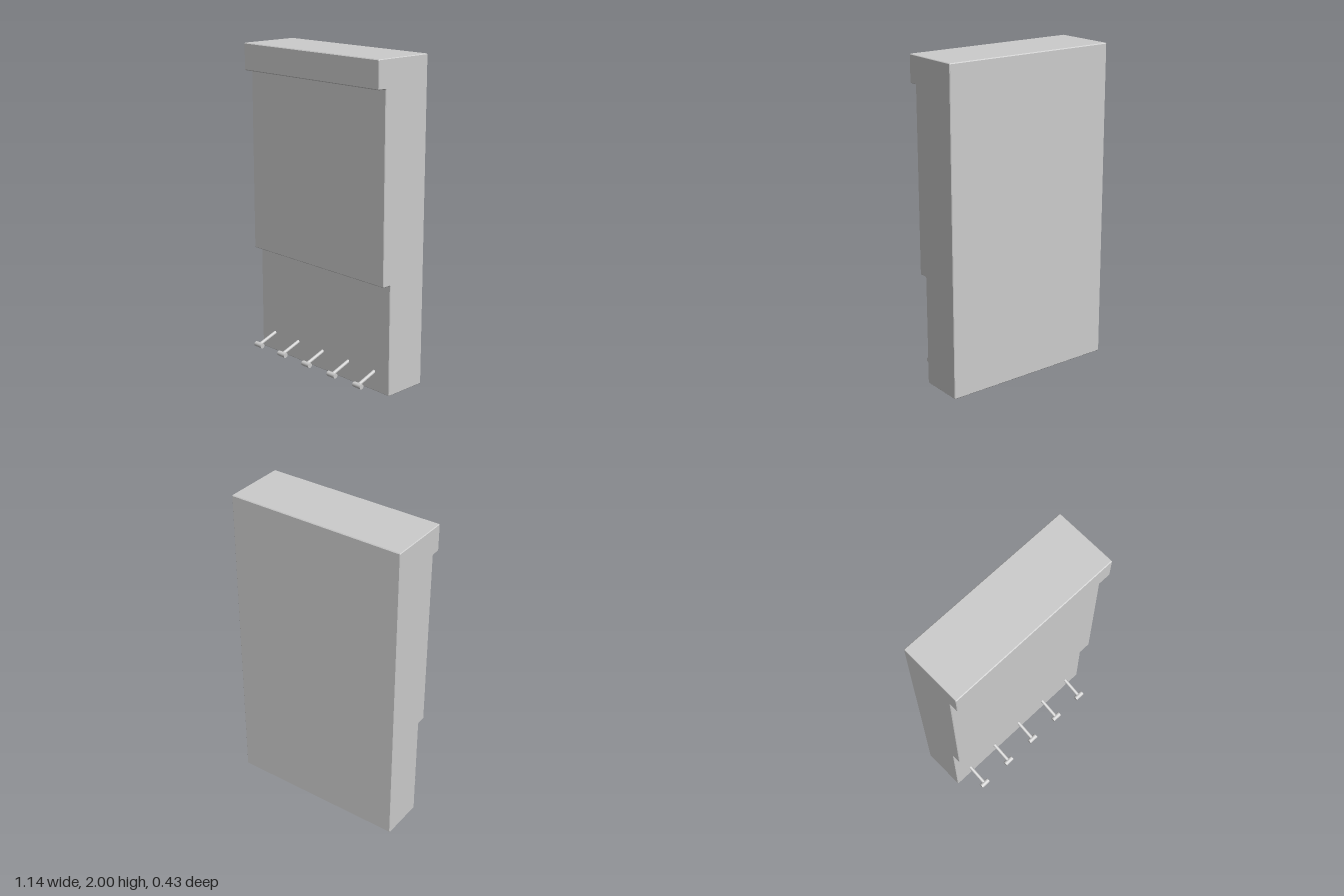
import * as THREE from 'three';

const material = new THREE.MeshStandardMaterial({ color: 0xcccccc });
const flat = new THREE.MeshStandardMaterial({ color: 0xcccccc, flatShading: true });

// Stepped side profile (z, y), extruded across the width with softened edges
function makeCabinet() {
  const corners = [
    [-0.217, 0], [0.065, 0], [0.065, 0.688], [0.123, 0.688],
    [0.123, 1.832], [0.18, 1.832], [0.18, 2], [-0.217, 2],
  ].map(([z, y]) => new THREE.Vector2(z, y));
  const ease = 0.005;
  const outline = [];
  corners.forEach((c, i) => {
    const prev = corners[(i + corners.length - 1) % corners.length];
    const next = corners[(i + 1) % corners.length];
    for (const n of [prev, next]) {
      outline.push(n.clone().sub(c).setLength(ease).add(c));
    }
  });
  const bevel = 0.004, width = 1.136;
  const geometry = new THREE.ExtrudeGeometry(new THREE.Shape(outline), {
    depth: width - 2 * bevel, bevelEnabled: true, bevelSegments: 1,
    bevelSize: bevel, bevelThickness: bevel, bevelOffset: -bevel,
  });
  geometry.translate(0, 0, -width / 2 + bevel);
  geometry.rotateY(-Math.PI / 2);
  const mesh = new THREE.Mesh(geometry, flat);
  mesh.name = 'cabinetBody';
  return mesh;
}

// Slanted rod with a small horizontal roller at its tip
function makePedal(x) {
  const pedal = new THREE.Group();
  pedal.name = 'pedal';
  const root = new THREE.Vector3(0, 0.127, 0.05);
  const tip = new THREE.Vector3(0, 0.074, 0.201);
  const dir = tip.clone().sub(root);

  const rod = new THREE.Mesh(new THREE.CylinderGeometry(0.011, 0.011, dir.length(), 16), material);
  rod.name = 'pedalRod';
  rod.position.copy(root).lerp(tip, 0.5);
  rod.quaternion.setFromUnitVectors(new THREE.Vector3(0, 1, 0), dir.normalize());

  const roller = new THREE.Mesh(new THREE.CylinderGeometry(0.016, 0.016, 0.063, 20), material);
  roller.name = 'pedalRoller';
  roller.rotation.z = Math.PI / 2;
  roller.position.copy(tip);

  pedal.add(rod, roller);
  pedal.position.x = x;
  return pedal;
}

export function createModel() {
  const model = new THREE.Group();
  model.name = 'steppedCabinet';
  model.add(makeCabinet());
  for (const x of [-0.448, -0.225, 0, 0.225, 0.445]) model.add(makePedal(x));
  return model;
}
